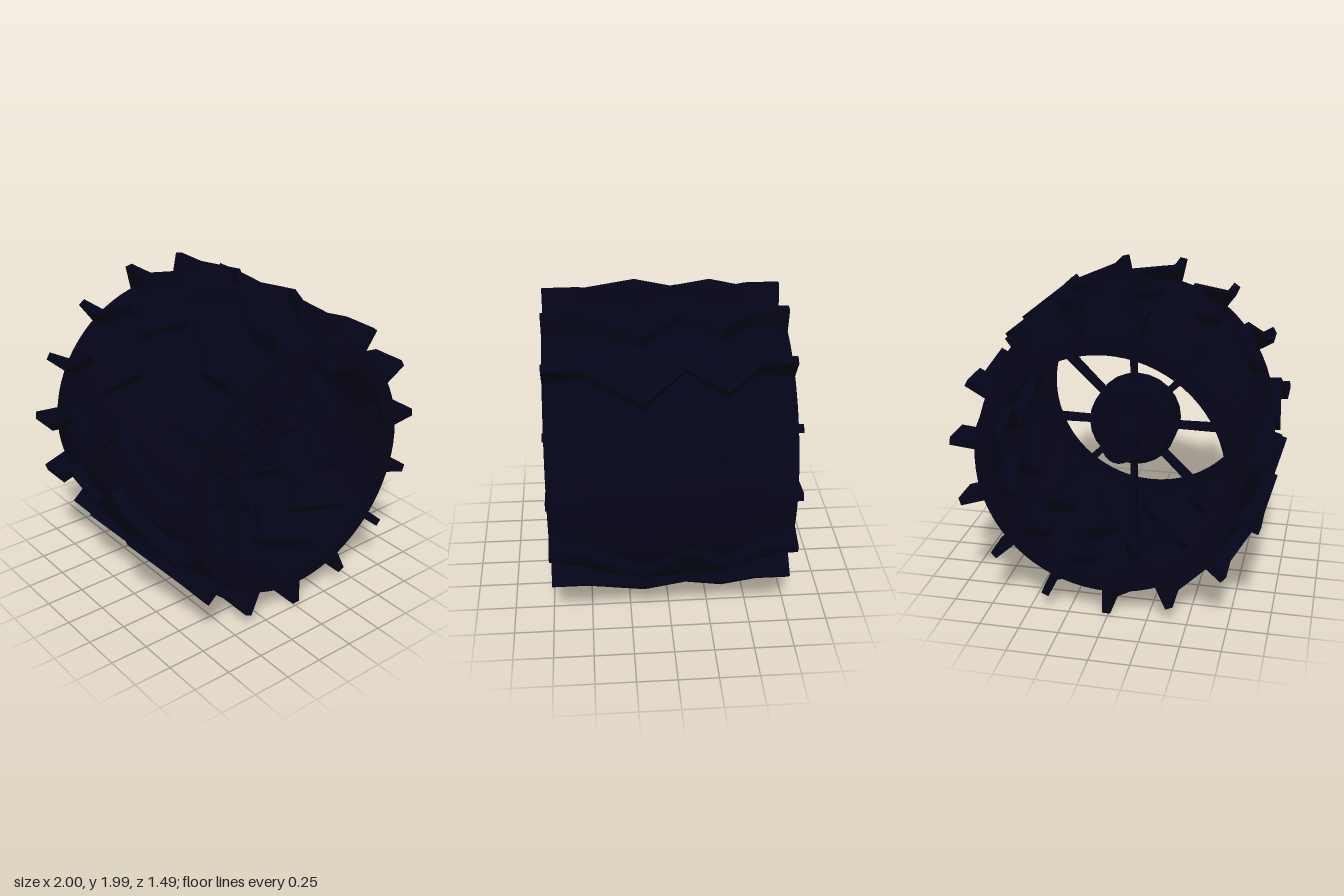
import * as THREE from 'three';
import { toCreasedNormals } from 'three/addons/utils/BufferGeometryUtils.js';

const HALF = 0.745; // half the wheel width
const TREADS = 15;
const SPOKES = 8;

export function createModel() {
  const model = new THREE.Group();
  model.name = 'wheel';
  const wheel = new THREE.Group();
  wheel.name = 'wheelAssembly';
  wheel.position.set(0.003, 0.995, 0);
  model.add(wheel);

  const material = new THREE.MeshStandardMaterial({ color: 0x040419, side: THREE.DoubleSide });

  function add(name, geometry, parent = wheel) {
    const mesh = new THREE.Mesh(geometry, material);
    mesh.name = name;
    parent.add(mesh);
    return mesh;
  }

  // Turned part around the z axis; profile points are [radius, z]
  function turned(profile, segments) {
    const points = profile.map(([r, z]) => new THREE.Vector2(r, z));
    const geometry = new THREE.LatheGeometry(points, segments);
    geometry.rotateX(Math.PI / 2);
    return toCreasedNormals(geometry, 0.5);
  }

  // Hollow barrel bulging in the middle, with an inward lip at both ends
  const bulge = (z) => 0.93 - 0.115 * Math.pow(Math.abs(z) / HALF, 1.8);
  const outer = [];
  const inner = [];
  for (let i = 0; i <= 16; i++) {
    const z = -HALF + (2 * HALF * i) / 16;
    outer.push([bulge(z), z]);
    const zi = z * 0.96;
    inner.unshift([bulge(zi) - 0.025, zi]);
  }
  const lipIn = HALF * 0.96;
  add('barrel', turned([
    [0.715, -HALF], ...outer, [0.715, HALF], [0.715, lipIn],
    ...inner, [0.715, -lipIn], [0.715, -HALF],
  ], 72));

  // Zigzag tread bars, cut through the barrel wall; points are [tangent, z]
  const zigzag = [[-0.02, HALF], [-0.02, 0.52], [-0.245, 0.16], [-0.03, -0.09],
    [-0.19, -0.33], [-0.02, -0.53], [-0.02, -HALF]];
  const outline = [
    ...zigzag,
    ...zigzag.map(([t, z]) => [t + 0.05, z]).reverse(),
  ].map(([t, z]) => new THREE.Vector2(t, z));
  const treadGeometry = new THREE.ExtrudeGeometry(new THREE.Shape(outline), {
    depth: 0.185, bevelEnabled: false,
  });
  treadGeometry.translate(0, 0, 0.79);
  treadGeometry.rotateX(Math.PI / 2);
  const treads = new THREE.Group();
  treads.name = 'treads';
  wheel.add(treads);
  for (let i = 0; i < TREADS; i++) {
    add('tread', treadGeometry, treads).rotation.z = (i * 2 * Math.PI) / TREADS;
  }

  // Spokes from the hub to the barrel wall, slightly wider at the wall
  const spokeGeometry = new THREE.BoxGeometry(0.045, 0.7, 0.07);
  spokeGeometry.translate(0, 0.56, 0);
  const p = spokeGeometry.attributes.position;
  for (let i = 0; i < p.count; i++) {
    p.setX(i, p.getX(i) * (p.getY(i) > 0.5 ? 1.2 : 0.7));
  }
  spokeGeometry.computeVertexNormals();
  const spokes = new THREE.Group();
  spokes.name = 'spokes';
  spokes.position.z = 0.08;
  wheel.add(spokes);
  for (let i = 0; i < SPOKES; i++) {
    add('spoke', spokeGeometry, spokes).rotation.z = (i * 2 * Math.PI) / SPOKES;
  }

  // Stepped hub with concentric grooves on its front
  add('hub', turned([
    [0, 0], [0.25, 0], [0.29, 0.04], [0.29, 0.22], [0.26, 0.26],
    [0.21, 0.26], [0.2, 0.2], [0.17, 0.2], [0.16, 0.26], [0.13, 0.26],
    [0.12, 0.22], [0.1, 0.22], [0.09, 0.28], [0.06, 0.3], [0, 0.3],
  ], 24));

  // Axle stub reaching back from the hub
  const axle = new THREE.CylinderGeometry(0.1, 0.1, 0.42, 20);
  axle.rotateX(Math.PI / 2);
  add('axle', axle).position.z = -0.2;

  return model;
}
